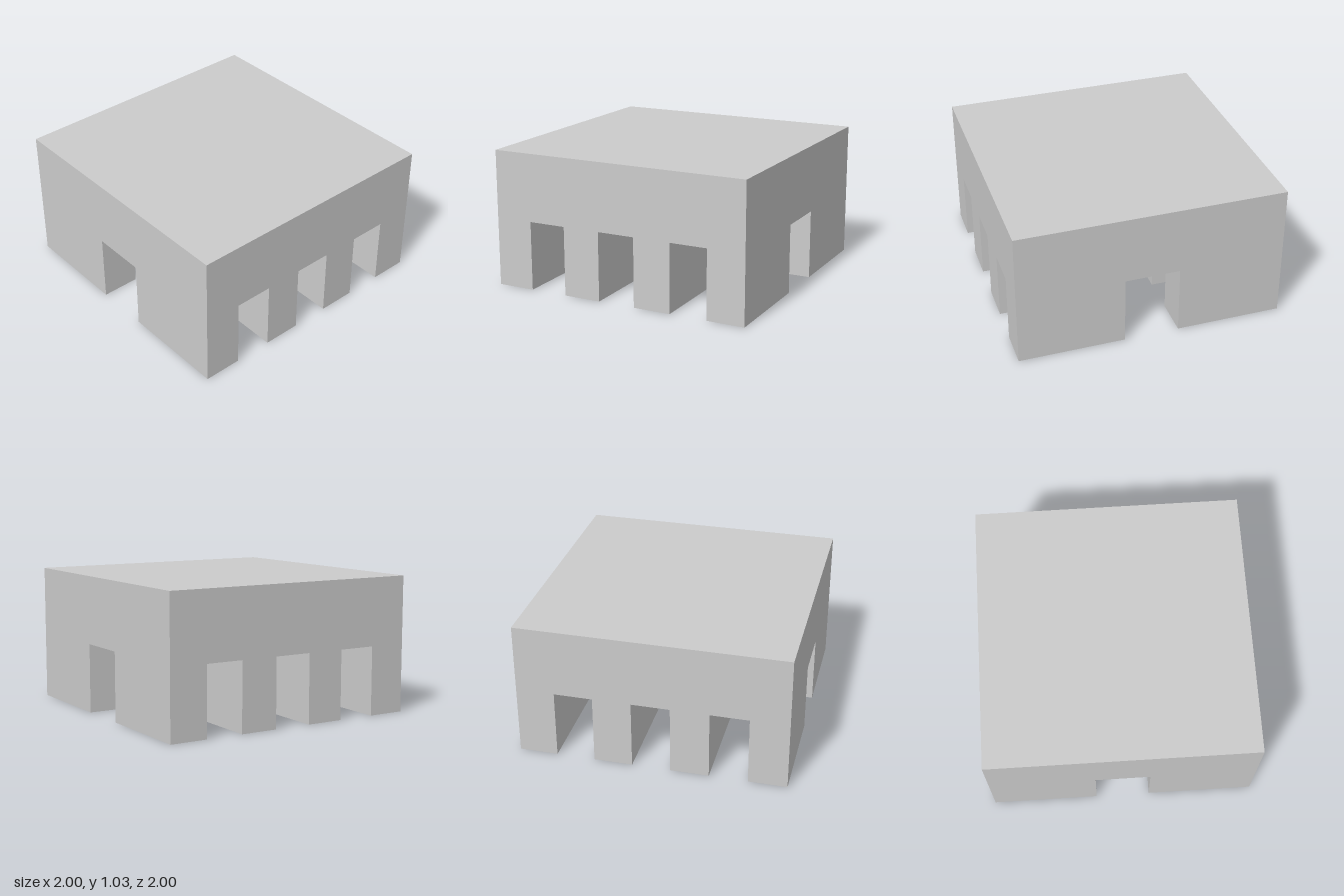
import * as THREE from 'three';

const SIZE = 2, HEIGHT = 1.03, LEG_HEIGHT = 0.52, GAP_Z = 0.41;
const LEG_WIDTH = SIZE / 7; // four legs and three equal gaps per row
const LEG_DEPTH = (SIZE - GAP_Z) / 2;

export function createModel() {
  const group = new THREE.Group();
  const material = new THREE.MeshStandardMaterial({ color: 0xcccccc, flatShading: true });

  const addBox = (name, w, h, d, x, y, z) => {
    const mesh = new THREE.Mesh(new THREE.BoxGeometry(w, h, d), material);
    mesh.name = name;
    mesh.position.set(x, y + h / 2, z);
    group.add(mesh);
  };

  // Thick square top
  addBox('topBlock', SIZE, HEIGHT - LEG_HEIGHT, SIZE, 0, LEG_HEIGHT, 0);

  // Front and back rows of four legs
  for (const [row, side] of [['front', 1], ['back', -1]]) {
    for (let i = 0; i < 4; i++) {
      const x = (i * 2 - 3) * LEG_WIDTH;
      addBox(`${row}Leg${i + 1}`, LEG_WIDTH, LEG_HEIGHT, LEG_DEPTH, x, 0, side * (GAP_Z + LEG_DEPTH) / 2);
    }
  }
  return group;
}
